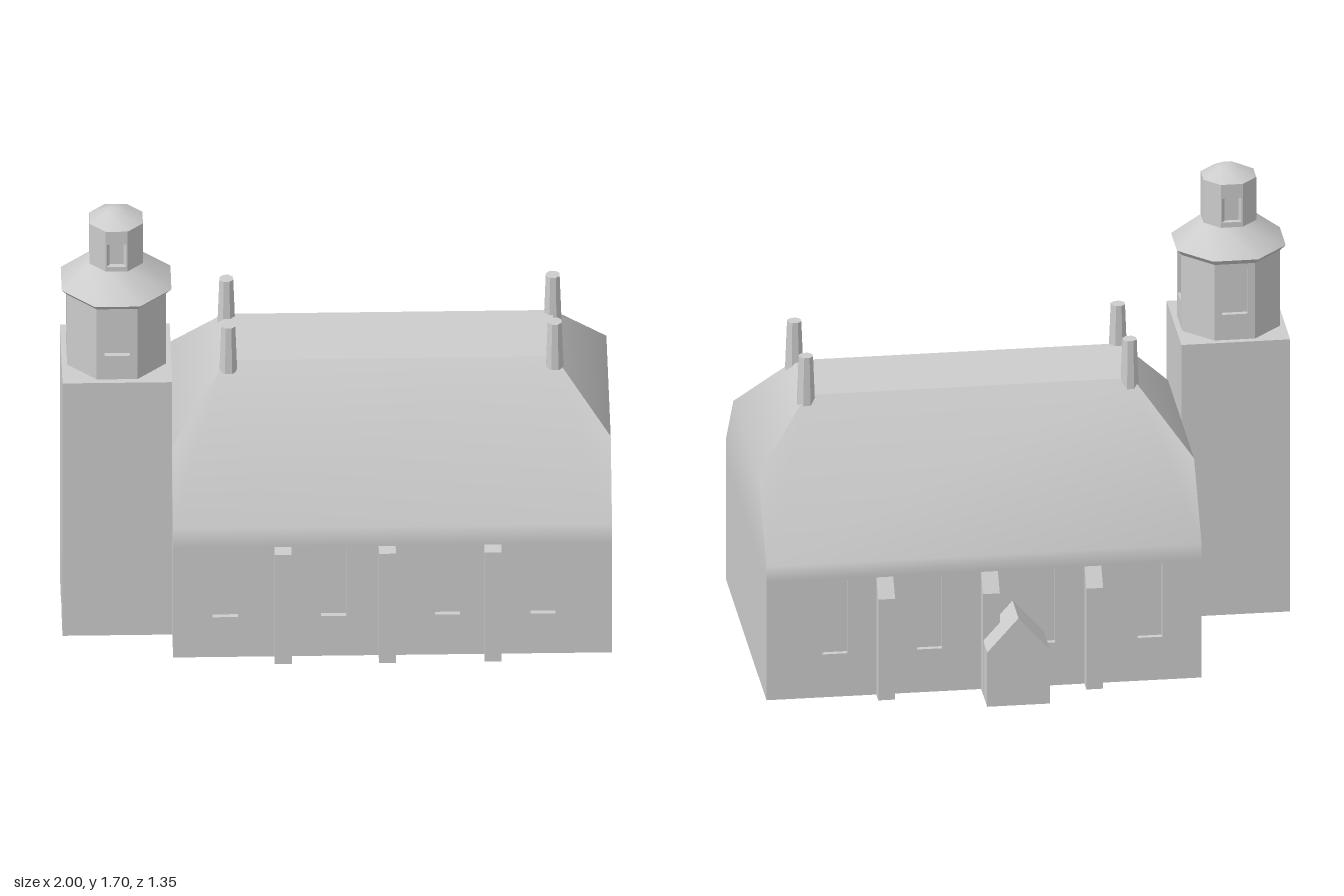
import * as THREE from 'three';
import { toCreasedNormals } from 'three/addons/utils/BufferGeometryUtils.js';
import { ConvexGeometry } from 'three/addons/geometries/ConvexGeometry.js';

const stone = new THREE.MeshStandardMaterial({ color: 0xcccccc });
stone.name = 'paleStone';

const RECESS = 0.02;

function add(parent, name, geometry, x = 0, y = 0, z = 0, turn = 0) {
  const mesh = new THREE.Mesh(geometry, stone);
  mesh.name = name;
  mesh.position.set(x, y, z);
  mesh.rotation.y = turn;
  parent.add(mesh);
  return mesh;
}

// Box given by its limits
function block(parent, name, x0, x1, y0, y1, z0, z1) {
  return add(parent, name, new THREE.BoxGeometry(x1 - x0, y1 - y0, z1 - z0),
    (x0 + x1) / 2, (y0 + y1) / 2, (z0 + z1) / 2);
}

// Slab with its outer face at z = 0, pierced by windows [x, width, y0, y1]
function wallPanel(width, height, windows, door) {
  const w = width / 2;
  const shape = new THREE.Shape();
  shape.moveTo(-w, 0);
  if (door) {
    const [x, dw, dh] = door;
    shape.lineTo(x - dw / 2, 0).lineTo(x - dw / 2, dh);
    shape.lineTo(x + dw / 2, dh).lineTo(x + dw / 2, 0);
  }
  shape.lineTo(w, 0).lineTo(w, height).lineTo(-w, height).closePath();
  for (const [x, ww, y0, y1] of windows) {
    const hole = new THREE.Path();
    hole.moveTo(x - ww / 2, y0).lineTo(x - ww / 2, y1);
    hole.lineTo(x + ww / 2, y1).lineTo(x + ww / 2, y0).closePath();
    shape.holes.push(hole);
  }
  return new THREE.ExtrudeGeometry(shape, { depth: RECESS, bevelEnabled: false })
    .translate(0, 0, -RECESS);
}

// Prism along x from a [z, y] profile, or along z from an [x, y] profile
function prism(profile, depth) {
  const shape = new THREE.Shape(profile.map(([a, b]) => new THREE.Vector2(a, b)));
  return new THREE.ExtrudeGeometry(shape, { depth, bevelEnabled: false });
}

// Eight-sided solid with flats facing the axes; profile is [apothem, y]
function octagon(profile) {
  const k = 1 / Math.cos(Math.PI / 8);
  const points = profile.map(([r, y]) => new THREE.Vector2(r * k, y));
  return toCreasedNormals(new THREE.LatheGeometry(points, 8, Math.PI / 8), 0.7);
}

// Octagonal storey made from eight panels around a core
function lanternStorey(parent, name, apothem, y0, y1, windowFor) {
  const group = new THREE.Group();
  group.name = name;
  parent.add(group);
  const inner = apothem - RECESS;
  add(group, 'core', octagon([[0, y0], [inner, y0], [inner, y1], [0, y1]]));
  const width = 2 * apothem * Math.tan(Math.PI / 8);
  for (let i = 0; i < 8; i++) {
    const a = i * Math.PI / 4;
    add(group, 'panel', wallPanel(width, y1 - y0, windowFor(i)),
      Math.sin(a) * apothem, y0, Math.cos(a) * apothem, a);
  }
}

function makeHall() {
  const hall = new THREE.Group();
  hall.name = 'hall';
  const front = 0.62, back = -0.51, split = 0.47;
  block(hall, 'hallCore', -0.6, 1, 0, split, back + RECESS, front - RECESS);

  // Long walls with four recessed windows each
  const xs = [-0.41, -0.015, 0.4, 0.748];
  const windows = (side) => xs.map((x) => [side * (x - 0.2), 0.092, 0.17, 0.46]);
  add(hall, 'frontWall', wallPanel(1.6, split, windows(1)), 0.2, 0, front);
  add(hall, 'backWall', wallPanel(1.6, split, windows(-1)), 0.2, 0, back, Math.PI);

  // Half-hipped roof with a flat top
  const pts = [];
  const ends = [[-0.6, -0.4, 0.78, 0.425, -0.3], [1, 0.8, 0.795, 0.41, -0.29]];
  for (const [x, topX, hipY, hipFront, hipBack] of ends) {
    pts.push([x, split, front], [x, split, back], [x, 0.55, front], [x, 0.53, back],
      [x, hipY, hipFront], [x, hipY, hipBack], [topX, 1.025, 0.222], [topX, 1.025, -0.1]);
  }
  const roof = new ConvexGeometry(pts.map((p) => new THREE.Vector3(...p)));
  add(hall, 'roof', toCreasedNormals(roof, 0.75));

  // Buttresses: flat-topped in front, sloped behind
  for (const x of [-0.2, 0.18, 0.565]) {
    block(hall, 'frontButtress', x - 0.031, x + 0.031, 0, 0.467, front - 0.01, 0.675);
    const profile = [[0.49, 0], [0.565, 0], [0.565, 0.4], [0.51, 0.465], [0.49, 0.465]];
    add(hall, 'backButtress', prism(profile, 0.062), x - 0.031, 0, 0, Math.PI / 2);
  }

  // Corner chimneys
  for (const x of [-0.39, 0.8]) {
    for (const z of [-0.095, 0.23]) {
      add(hall, 'chimney', octagon([[0, 0.99], [0.032, 0.99], [0.025, 1.18], [0, 1.18]]), x, 0, z);
    }
  }

  // Gabled porch at the back
  const gable = [[-0.02, 0], [0.21, 0], [0.21, 0.215], [0.095, 0.345], [-0.02, 0.215]];
  add(hall, 'porch', prism(gable, 0.175), 0, 0, -0.675);
  return hall;
}

function makeTower() {
  const tower = new THREE.Group();
  tower.name = 'tower';
  const z0 = 0.05, z1 = 0.46, height = 1.08;
  block(tower, 'towerShaft', -1 + RECESS, -0.6, 0, height, z0, z1);
  add(tower, 'doorWall', wallPanel(z1 - z0, height, [], [0.02, 0.085, 0.23]),
    -1, 0, (z0 + z1) / 2, -Math.PI / 2);

  // Two-storey lantern
  const lantern = new THREE.Group();
  lantern.name = 'lantern';
  lantern.position.set(-0.8, 0, 0.255);
  tower.add(lantern);
  lanternStorey(lantern, 'lowerLantern', 0.18, height, 1.385,
    (i) => (i % 2 ? [] : [[0, 0.094, 0.1, 0.28]]));
  lanternStorey(lantern, 'upperLantern', 0.097, 1.48, 1.66,
    (i) => (i % 4 ? [] : [[0, 0.072, 0.03, 0.125]]));
  add(lantern, 'skirtRoof', octagon([[0, 1.38], [0.18, 1.38], [0.2, 1.402], [0.097, 1.49], [0, 1.49]]));
  add(lantern, 'capRoof', octagon([[0, 1.655], [0.097, 1.66], [0.035, 1.695], [0, 1.702]]));
  return tower;
}

export function createModel() {
  const model = new THREE.Group();
  model.name = 'church';
  model.add(makeHall(), makeTower());
  return model;
}
